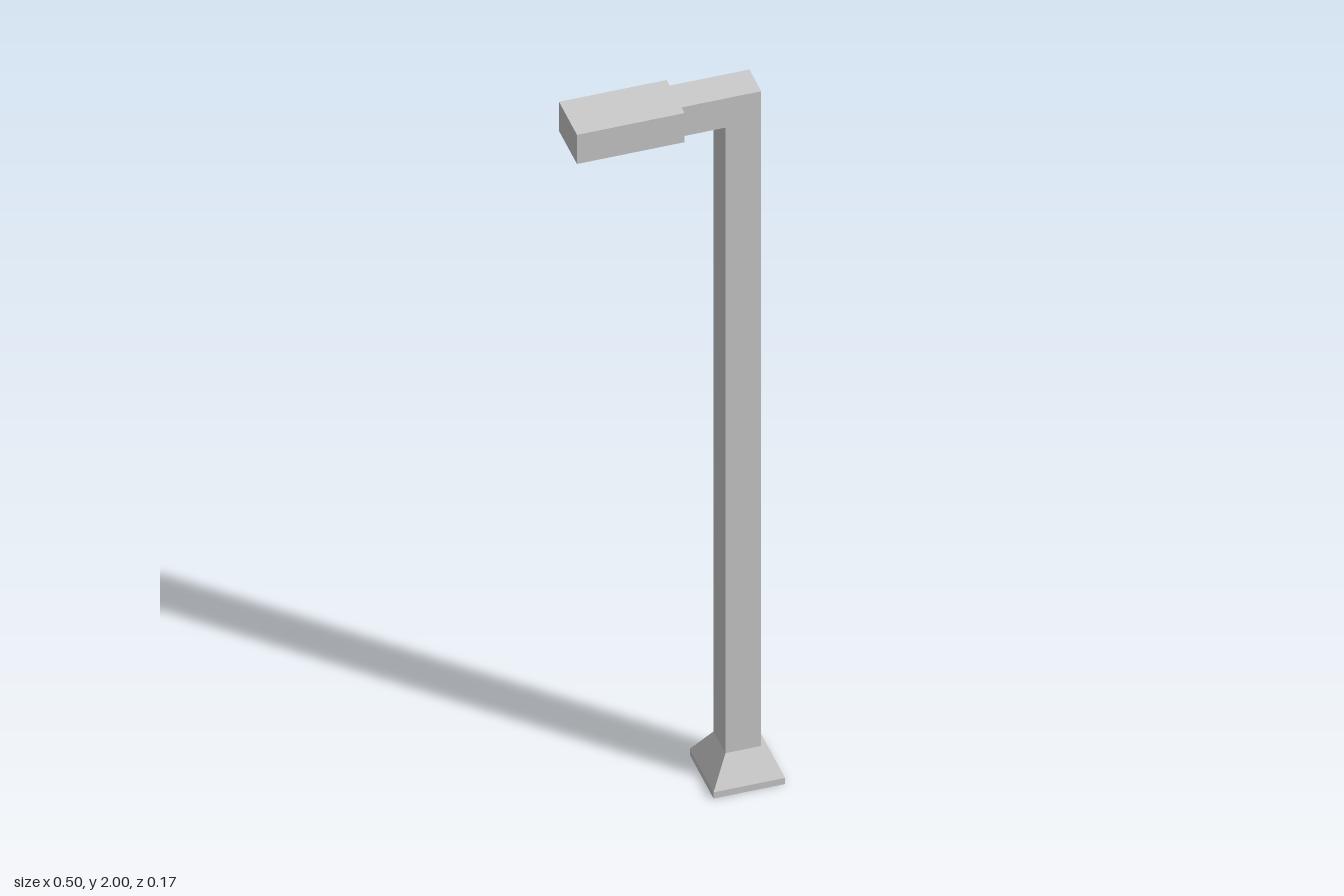
import * as THREE from 'three';

const material = new THREE.MeshStandardMaterial({ color: 0xcccccc, flatShading: true });

// Skins a chain of rectangles [centreX, y, halfX, halfZ] and caps both ends.
function loftRectangles(rings) {
  const positions = [];
  const corners = rings.map(([cx, y, hx, hz]) => [
    [cx - hx, y, hz], [cx + hx, y, hz], [cx + hx, y, -hz], [cx - hx, y, -hz],
  ]);
  const quad = (a, b, c, d) => positions.push(...a, ...b, ...c, ...a, ...c, ...d);
  for (let i = 0; i < corners.length - 1; i++) {
    for (let j = 0; j < 4; j++) {
      const k = (j + 1) % 4;
      quad(corners[i][j], corners[i][k], corners[i + 1][k], corners[i + 1][j]);
    }
  }
  const first = corners[0];
  quad(first[0], first[3], first[2], first[1]);
  quad(...corners[corners.length - 1]);
  const geometry = new THREE.BufferGeometry();
  geometry.setAttribute('position', new THREE.Float32BufferAttribute(positions, 3));
  geometry.computeVertexNormals();
  return geometry;
}

export function createModel() {
  const group = new THREE.Group();
  const add = (name, geometry) => {
    const mesh = new THREE.Mesh(geometry, material);
    mesh.name = name;
    group.add(mesh);
  };

  const postX = 0.1625, half = 0.0435, armEnd = 0.012, under = 1.915;

  // Flared foot with a thin vertical edge
  add('base', loftRectangles([
    [postX, 0, 0.087, 0.087],
    [postX, 0.018, 0.087, 0.087],
    [postX, 0.09, half, half],
  ]));

  // Square post and side arm as one L-shaped beam
  const beam = new THREE.Shape([
    [postX - half, 0.09], [postX + half, 0.09], [postX + half, 2],
    [armEnd, 2], [armEnd, under], [postX - half, under],
  ].map(([x, y]) => new THREE.Vector2(x, y)));
  const beamGeometry = new THREE.ExtrudeGeometry(beam, { depth: half * 2, bevelEnabled: false });
  beamGeometry.translate(0, 0, -half);
  add('postAndArm', beamGeometry);

  // Lamp head: recess ceiling, sloped recess walls, rim, outer walls, top
  const headX = -0.119;
  add('lampHead', loftRectangles([
    [headX, 1.95, 0.09, 0.03],
    [headX, under, 0.111, 0.046],
    [headX, under, 0.131, 0.066],
    [headX, 2, 0.131, 0.066],
  ]));

  return group;
}
